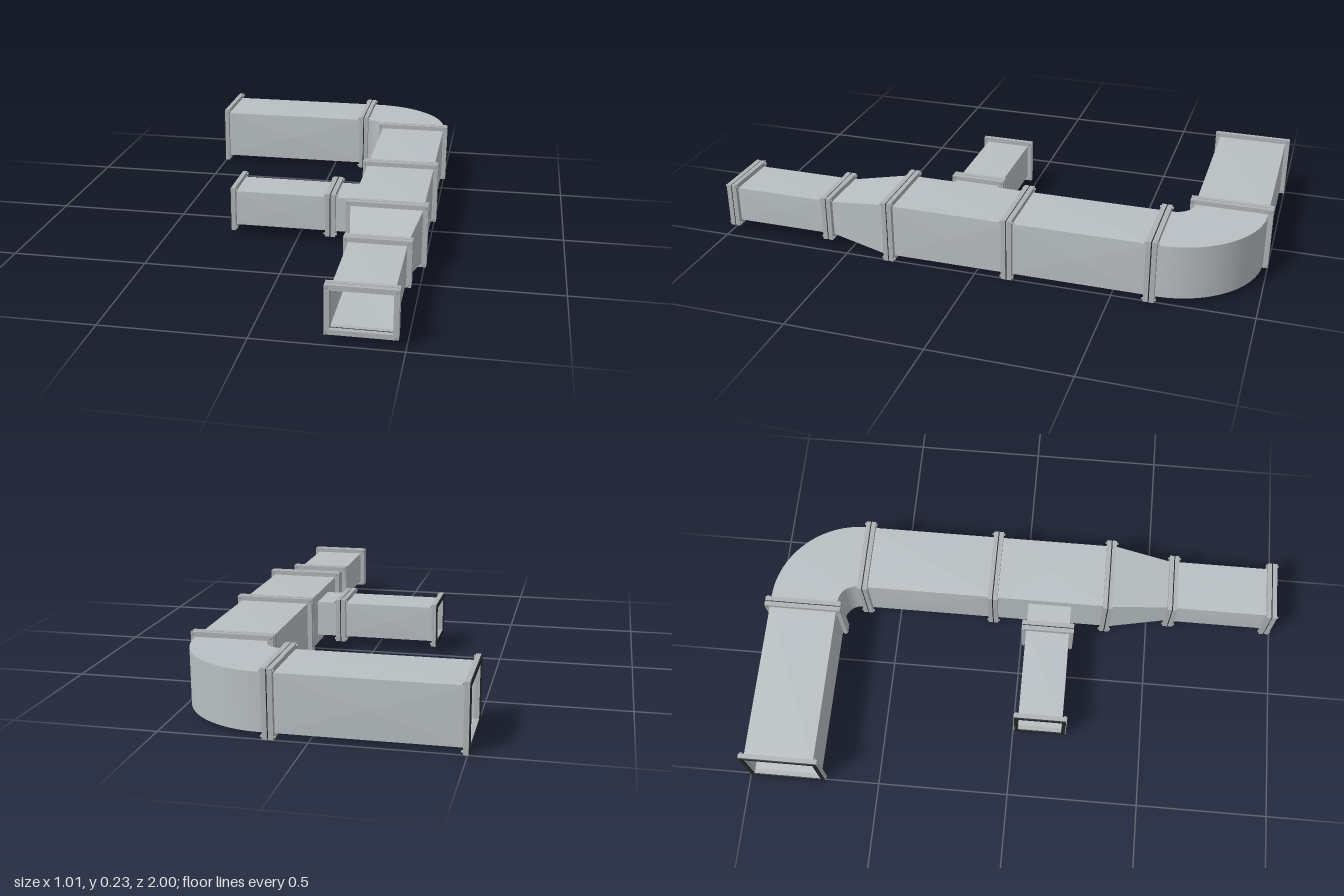
import * as THREE from 'three';

const sheet = new THREE.MeshStandardMaterial({ color: 0xb9bfc2, side: THREE.DoubleSide });
sheet.name = 'galvanised sheet';
const steel = new THREE.MeshStandardMaterial({ color: 0xadb2b4 });
steel.name = 'flange steel';
const boltMetal = new THREE.MeshStandardMaterial({ color: 0x9a9fa2 });
boltMetal.name = 'bolt metal';
const rubber = new THREE.MeshStandardMaterial({ color: 0x222426 });
rubber.name = 'gasket rubber';

const LIP = 0.0175, FLANGE = 0.017, GASKET = 0.004;
const MAIN = [0.13, 0.1], SMALL = [0.1, 0.067], BRANCH = [0.084, 0.067]; // half width, half height
const Y = MAIN[1] + LIP, X = 0.359, BACK_Z = -0.853, BRANCH_Z = 0.105;

function mesh(parent, name, geometry, material) {
  const m = new THREE.Mesh(geometry, material);
  m.name = name;
  parent.add(m);
  return m;
}

// Open rectangular duct along z; each panel is cross-broken to a shallow peak
function duct(parent, name, z0, s0, z1, s1 = s0, peak = 0, skip = -1) {
  const signs = [[1, 1], [-1, 1], [-1, -1], [1, -1]];
  const out = [[0, 1], [-1, 0], [0, -1], [1, 0]];
  const at = (k, s, z) => new THREE.Vector3(signs[k % 4][0] * s[0], signs[k % 4][1] * s[1], z);
  const pts = [];
  for (let k = 0; k < 4; k++) {
    if (k === skip) continue;
    const q = [at(k, s0, z0), at(k + 1, s0, z0), at(k + 1, s1, z1), at(k, s1, z1)];
    const apex = new THREE.Vector3();
    q.forEach(p => apex.addScaledVector(p, 0.25));
    apex.x += out[k][0] * peak;
    apex.y += out[k][1] * peak;
    for (let i = 0; i < 4; i++) pts.push(q[i], q[(i + 1) % 4], apex);
  }
  const g = new THREE.BufferGeometry().setFromPoints(pts);
  g.computeVertexNormals();
  return mesh(parent, name, g, sheet);
}

function rect(T, hx, hy, cx = 0, cy = 0) {
  const p = new T();
  p.moveTo(cx - hx, cy - hy);
  p.lineTo(cx + hx, cy - hy);
  p.lineTo(cx + hx, cy + hy);
  p.lineTo(cx - hx, cy + hy);
  p.closePath();
  return p;
}

function frame(parent, name, size, lip, z, depth, material) {
  const s = rect(THREE.Shape, size[0] + lip, size[1] + lip);
  s.holes.push(rect(THREE.Path, size[0], size[1]));
  const g = new THREE.ExtrudeGeometry(s, { depth, bevelEnabled: false });
  mesh(parent, name, g, material).position.z = z;
}

// Bolted joint centred at z: a pair of flanges, or only the inner one at an open end
function joint(parent, z, size, pair = true) {
  const g = new THREE.Group();
  g.name = pair ? 'flangeJoint' : 'endFlange';
  g.position.z = z;
  parent.add(g);
  const h = GASKET / 2;
  frame(g, 'gasket', size, LIP - 0.003, -h, GASKET, rubber);
  frame(g, 'flange', size, LIP, h, FLANGE, steel);
  if (pair) frame(g, 'flange', size, LIP, -h - FLANGE, FLANGE, steel);
  const top = h + FLANGE + 0.006, bottom = pair ? -top : 0;
  for (const sx of [-1, 1]) for (const sy of [-1, 1]) {
    const b = new THREE.CylinderGeometry(0.005, 0.005, top - bottom, 6).rotateX(Math.PI / 2);
    mesh(g, 'bolt', b, boltMetal).position.set(
      sx * (size[0] + 0.0095), sy * (size[1] + 0.0095), (top + bottom) / 2);
  }
}

function run(parent, name, x, z, alongX = false) {
  const g = new THREE.Group();
  g.name = name;
  g.position.set(x, Y, z);
  if (alongX) g.rotation.y = Math.PI / 2;
  parent.add(g);
  return g;
}

export function createModel() {
  const model = new THREE.Group();
  model.name = 'ductwork';
  const elbowX = X - 0.2, elbowZ = BACK_Z + 0.2;

  // Main run, front to back
  const main = run(model, 'mainRun', X, 0);
  duct(main, 'frontDuct', 0.585, SMALL, 0.993, SMALL, 0.002);
  duct(main, 'reducer', 0.352, MAIN, 0.566, SMALL);
  duct(main, 'reducerBackCollar', 0.331, MAIN, 0.352);
  duct(main, 'reducerFrontCollar', 0.566, SMALL, 0.585);
  duct(main, 'teeDuct', -0.12, MAIN, 0.331, MAIN, 0.003, 1);
  duct(main, 'middleDuct', -0.633, MAIN, -0.12, MAIN, 0.004);
  duct(main, 'elbowFrontCollar', elbowZ, MAIN, -0.633);
  joint(main, 0.973, SMALL);
  joint(main, 0.585, SMALL);
  joint(main, 0.331, MAIN);
  joint(main, -0.12, MAIN);
  joint(main, -0.633, MAIN);

  // Tee side panel with the branch opening
  const side = rect(THREE.Shape, 0.2255, MAIN[1], 0.1055);
  side.holes.push(rect(THREE.Path, BRANCH[0], BRANCH[1], BRANCH_Z));
  mesh(main, 'teeSidePanel', new THREE.ShapeGeometry(side).rotateY(-Math.PI / 2), sheet)
    .position.x = -MAIN[0];

  // Branch to the side
  const branch = run(model, 'branchRun', 0, BRANCH_Z, true);
  duct(branch, 'branchCollar', 0.132, BRANCH, X - MAIN[0]);
  duct(branch, 'branchDuct', -0.25, BRANCH, 0.132, BRANCH, 0.002);
  joint(branch, 0.132, BRANCH);
  joint(branch, -0.25, BRANCH, false);

  // Quarter-turn elbow
  const elbow = run(model, 'elbow', elbowX, elbowZ);
  const inner = 0.2 - MAIN[0], outer = 0.2 + MAIN[0];
  for (const [name, r] of [['innerWall', inner], ['outerWall', outer]]) {
    mesh(elbow, name, new THREE.CylinderGeometry(
      r, r, 2 * MAIN[1], 24, 1, true, Math.PI / 2, Math.PI / 2), sheet);
  }
  for (const [name, s] of [['topSheet', 1], ['bottomSheet', -1]]) {
    const g = new THREE.RingGeometry(inner, outer, 24, 1, s > 0 ? 0 : -Math.PI / 2, Math.PI / 2);
    mesh(elbow, name, g.rotateX(-s * Math.PI / 2), sheet).position.y = s * MAIN[1];
  }

  // Back run, turning to the side
  const back = run(model, 'backRun', 0, BACK_Z, true);
  duct(back, 'elbowSideCollar', 0.132, MAIN, elbowX);
  duct(back, 'backDuct', -0.505, MAIN, 0.132, MAIN, 0.004);
  joint(back, 0.132, MAIN);
  joint(back, -0.505, MAIN, false);

  return model;
}
